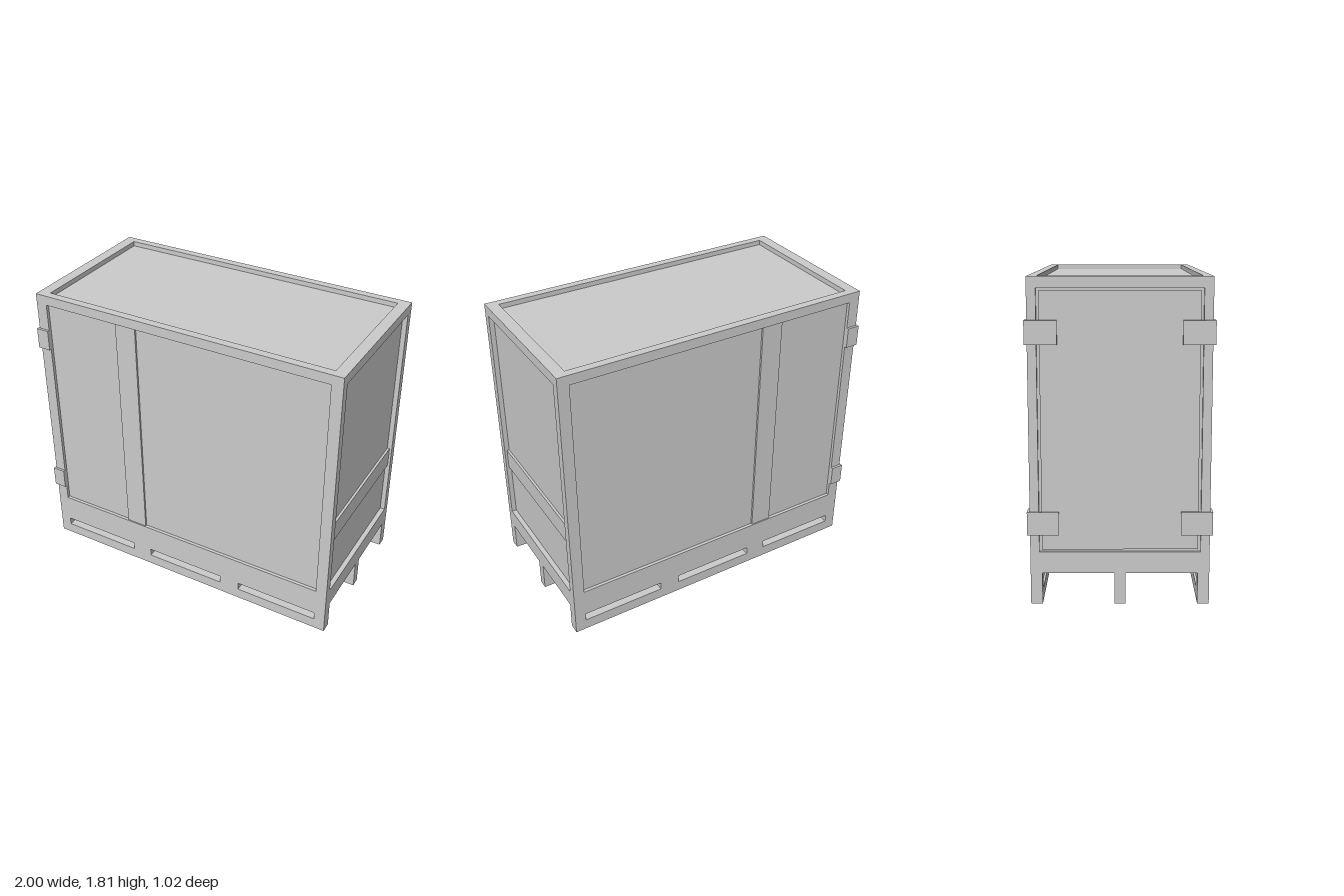
import * as THREE from 'three';

const X0 = -0.99, X1 = 1, Z = 0.495;       // outer body limits
const IX0 = -0.92, IX1 = 0.93, IZ = 0.445; // inner edges of the frame
const FLOOR = 0.18, SILL = 0.3, HEAD = 1.75, TOP = 1.81;

export function createModel() {
  const group = new THREE.Group();
  const material = new THREE.MeshStandardMaterial({ color: 0xcccccc, flatShading: true });

  const add = (name, geometry) => {
    const mesh = new THREE.Mesh(geometry, material);
    mesh.name = name;
    group.add(mesh);
    return mesh;
  };
  // Box given by its limits on each axis
  const box = (name, x0, x1, y0, y1, z0, z1) => {
    const g = new THREE.BoxGeometry(x1 - x0, y1 - y0, z1 - z0);
    g.translate((x0 + x1) / 2, (y0 + y1) / 2, (z0 + z1) / 2);
    return add(name, g);
  };
  const rect = (Type, x0, x1, y0, y1) => new Type([
    new THREE.Vector2(x0, y0), new THREE.Vector2(x1, y0),
    new THREE.Vector2(x1, y1), new THREE.Vector2(x0, y1),
  ]);
  const extrude = (shape, depth) =>
    new THREE.ExtrudeGeometry(shape, { depth, bevelEnabled: false });

  // Skids with three strap slots each
  for (const [z0, z1] of [[-Z, -0.43], [-0.03, 0.03], [0.43, Z]]) {
    const shape = rect(THREE.Shape, X0, X1, 0, FLOOR);
    for (const x of [IX0, -0.26, 0.4]) {
      shape.holes.push(rect(THREE.Path, x, x + 0.53, 0.07, 0.12));
    }
    add('skid', extrude(shape, z1 - z0)).position.z = z0;
  }

  // Base, corner posts and top rim
  box('base', X0, X1, FLOOR, SILL, -Z, Z);
  for (const [x0, x1] of [[X0, IX0], [IX1, X1]]) {
    box('cornerPost', x0, x1, SILL, HEAD, IZ, Z);
    box('cornerPost', x0, x1, SILL, HEAD, -Z, -IZ);
  }
  const rim = rect(THREE.Shape, X0, X1, -Z, Z);
  rim.holes.push(rect(THREE.Path, IX0, IX1, -IZ, IZ));
  const rimGeometry = extrude(rim, TOP - HEAD);
  rimGeometry.rotateX(-Math.PI / 2);
  add('topRim', rimGeometry).position.y = HEAD;

  // Recessed wall and roof panels
  box('panels', -0.97, 0.97, SILL, HEAD, -0.475, 0.475);
  box('roofPanel', IX0, IX1, HEAD - 0.01, 1.78, -IZ, IZ);

  // Door set in the end frame with a narrow gap around it
  box('door', -0.985, -0.96, SILL + 0.015, HEAD - 0.015, -IZ + 0.015, IZ - 0.015);

  // Stiffening battens on the long sides and the fixed end
  for (const s of [1, -1]) {
    box('sideBatten', -0.43, -0.295, SILL, HEAD, s > 0 ? 0.46 : -0.487, s > 0 ? 0.487 : -0.46);
  }
  box('endBatten', 0.95, 0.985, 0.66, 0.79, -IZ, IZ);

  // Angled hinges wrapping the door-end corners
  for (const y of [0.4, 1.45]) {
    for (const s of [1, -1]) {
      const shape = new THREE.Shape([
        [-1, 0.51], [-1, 0.335], [-0.985, 0.335], [-0.985, 0.49], [IX0, 0.49], [IX0, 0.51],
      ].map(([x, z]) => new THREE.Vector2(x, -s * z)));
      const g = extrude(shape, 0.13);
      g.rotateX(-Math.PI / 2);
      add('hinge', g).position.y = y;
    }
  }
  return group;
}
